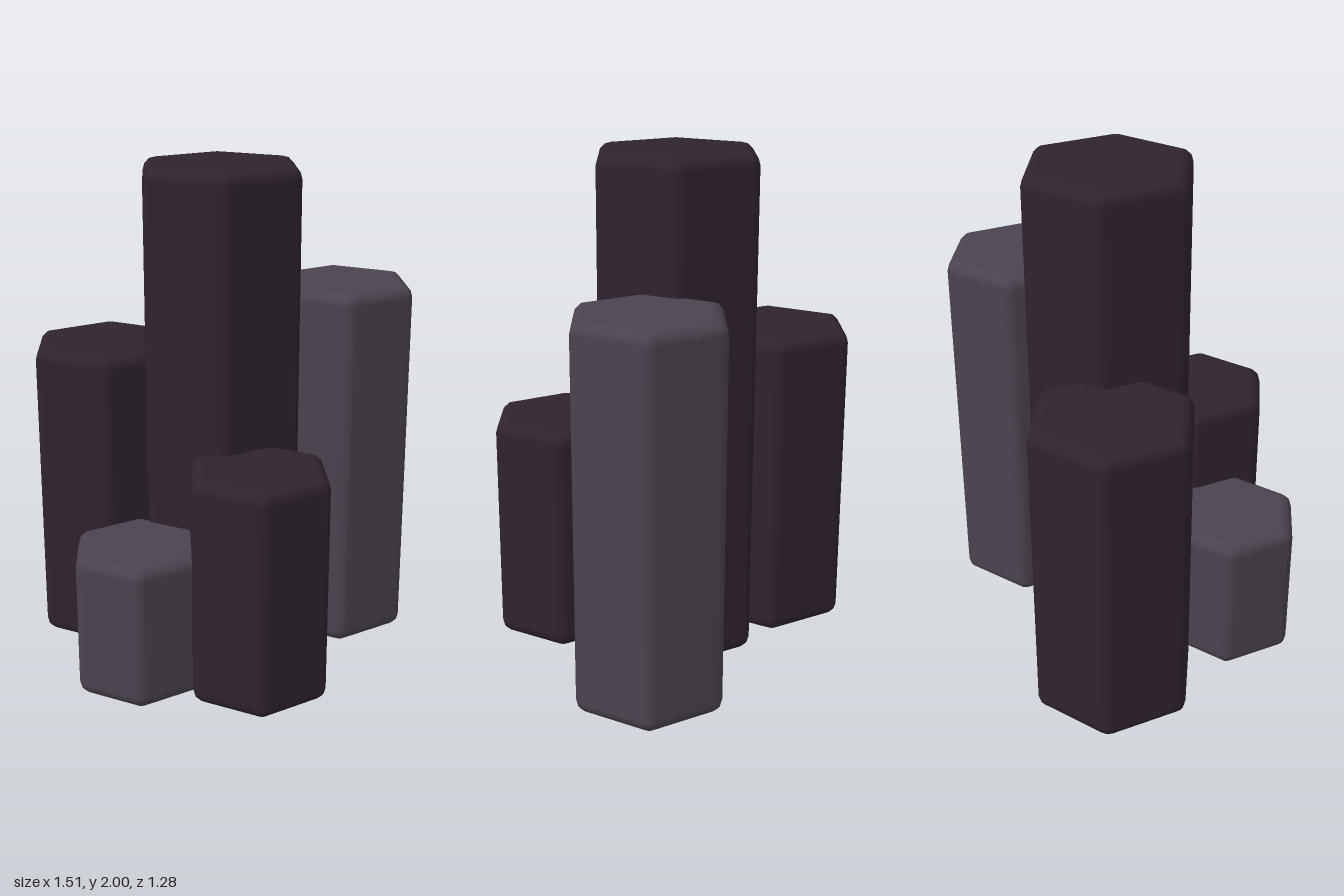
import * as THREE from 'three';

// Upright hexagonal prism with rounded edges: corners point along z, flats along x
function roundedHexColumn(halfWidth, height, r) {
  const steps = 3;
  const pos = [], nor = [], idx = [];
  const coreRadius = (halfWidth - r) * 2 / Math.sqrt(3);

  // outline: a short arc around each corner
  const outline = [];
  for (let k = 0; k < 6; k++) {
    const mid = Math.PI / 6 + k * Math.PI / 3;
    for (let s = 0; s <= steps; s++) {
      const a = mid + (s / steps - 0.5) * Math.PI / 3;
      outline.push([coreRadius * Math.cos(mid), coreRadius * Math.sin(mid), Math.cos(a), Math.sin(a)]);
    }
  }
  const n = outline.length;

  // rings from the bottom edge, around the bevels, to the top edge
  const rings = [];
  for (let s = 0; s <= steps; s++) rings.push([r, -Math.PI / 2 * (1 - s / steps)]);
  for (let s = 0; s <= steps; s++) rings.push([height - r, Math.PI / 2 * s / steps]);
  for (const [y, phi] of rings) {
    const c = Math.cos(phi), h = Math.sin(phi);
    for (const [cx, cz, nx, nz] of outline) {
      pos.push(cx + r * c * nx, y + r * h, cz + r * c * nz);
      nor.push(c * nx, h, c * nz);
    }
  }
  for (let i = 0; i < rings.length - 1; i++) {
    for (let j = 0; j < n; j++) {
      const a = i * n + j, b = i * n + (j + 1) % n;
      idx.push(a, a + n, b, b, a + n, b + n);
    }
  }

  // flat caps
  const bottom = pos.length / 3, top = bottom + 1, last = (rings.length - 1) * n;
  pos.push(0, 0, 0, 0, height, 0);
  nor.push(0, -1, 0, 0, 1, 0);
  for (let j = 0; j < n; j++) {
    const k = (j + 1) % n;
    idx.push(bottom, j, k, top, last + k, last + j);
  }

  const g = new THREE.BufferGeometry();
  g.setAttribute('position', new THREE.Float32BufferAttribute(pos, 3));
  g.setAttribute('normal', new THREE.Float32BufferAttribute(nor, 3));
  g.setIndex(idx);
  return g;
}

export function createModel() {
  const group = new THREE.Group();
  group.name = 'basaltColumns';
  const dark = new THREE.MeshStandardMaterial({ color: 0x30232e });
  dark.name = 'darkBasalt';
  const grey = new THREE.MeshStandardMaterial({ color: 0x4b434f });
  grey.name = 'greyBasalt';

  // name, x, z, half width, height, material
  const columns = [
    ['tallCentreColumn', -0.015, -0.112, 0.30, 2.0, dark],
    ['backRightColumn', -0.473, -0.318, 0.287, 1.25, dark],
    ['backLeftColumn', 0.483, -0.278, 0.272, 1.5, grey],
    ['frontRightColumn', -0.35, 0.262, 0.242, 0.585, grey],
    ['frontLeftColumn', 0.108, 0.345, 0.258, 0.92, dark],
  ];
  for (const [name, x, z, halfWidth, height, material] of columns) {
    const column = new THREE.Mesh(roundedHexColumn(halfWidth, height, 0.05), material);
    column.name = name;
    column.position.set(x, 0, z);
    group.add(column);
  }
  return group;
}
